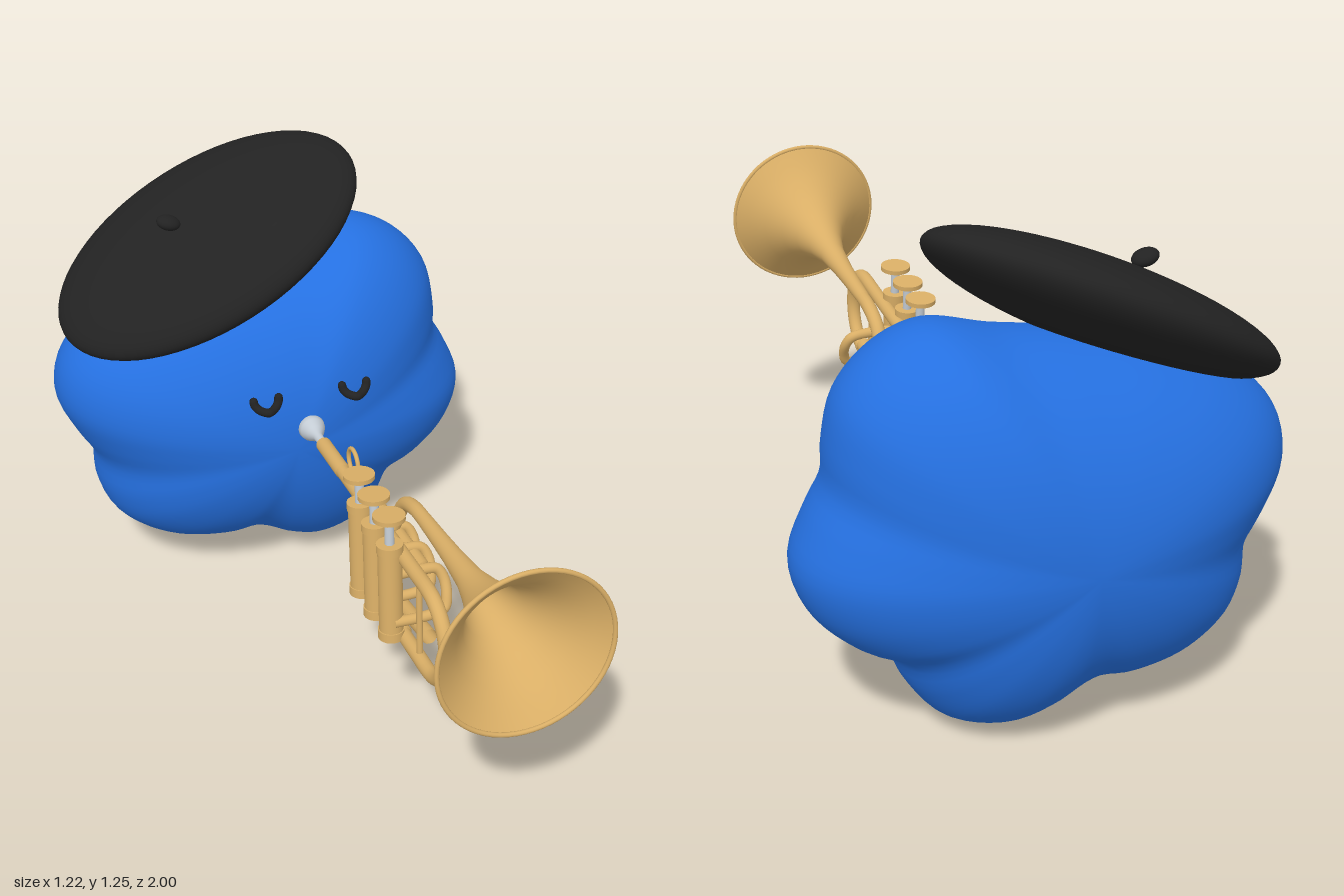
import * as THREE from 'three';
import { mergeVertices } from 'three/addons/utils/BufferGeometryUtils.js';

const mat = (name, color, side = THREE.FrontSide) => {
  const m = new THREE.MeshStandardMaterial({ color, side });
  m.name = name;
  return m;
};

export function createModel() {
  const blue = mat('blue', 0x2570e0);
  const black = mat('black', 0x222222);
  const brass = mat('brass', 0xd9ae66, THREE.DoubleSide);
  const silver = mat('silver', 0xc4ccd4, THREE.DoubleSide);

  const model = new THREE.Group();
  const add = (parent, name, geometry, material, x = 0, y = 0, z = 0) => {
    const mesh = new THREE.Mesh(geometry, material);
    mesh.name = name;
    mesh.position.set(x, y, z);
    parent.add(mesh);
    return mesh;
  };
  const curve = (pts, closed = false) =>
    new THREE.CatmullRomCurve3(pts.map(p => new THREE.Vector3(...p)), closed, 'centripetal');

  // Lobed body: one outline shrinking to a pole at the front and back
  const outline = [
    [-0.548, 0.78], [-0.598, 0.705], [-0.61, 0.613], [-0.565, 0.5], [-0.52, 0.414], [-0.515, 0.308],
    [-0.475, 0.209], [-0.36, 0.12], [-0.2, 0.083], [-0.1, 0.09], [-0.045, 0.073], [0.04, 0.027],
    [0.144, 0.003], [0.27, 0.043], [0.346, 0.136], [0.386, 0.219], [0.485, 0.275], [0.575, 0.368],
    [0.608, 0.48], [0.568, 0.59], [0.525, 0.673], [0.52, 0.756], [0.49, 0.88], [0.4, 0.98],
    [0.277, 1.027], [0.1, 0.99], [-0.05, 0.965], [-0.25, 0.925], [-0.43, 0.86],
  ].map(([x, y]) => [x, y - 0.52, 0]);
  const around = 128, rings = 56;
  const loop = curve(outline, true).getSpacedPoints(around);
  let body = new THREE.SphereGeometry(1, around, rings);
  const pos = body.attributes.position;
  for (let i = 0; i < pos.count; i++) {
    const p = loop[i % (around + 1)];
    const phi = Math.floor(i / (around + 1)) / rings * Math.PI;
    pos.setXYZ(i, p.x * Math.sin(phi), p.y * Math.sin(phi), 0.36 * Math.cos(phi));
  }
  body.deleteAttribute('uv');
  body.deleteAttribute('normal');
  body = mergeVertices(body, 1e-5);
  body.computeVertexNormals();
  add(model, 'body', body, blue, 0, 0.52, -0.64);

  // Tilted beret with its knob
  const beret = new THREE.Group();
  beret.name = 'beret';
  beret.position.set(-0.15, 1.018, -0.642);
  beret.rotation.set(0.27, 0, 0.46, 'ZXY');
  model.add(beret);
  add(beret, 'beretCap', new THREE.SphereGeometry(1, 64, 32), black).scale.set(0.47, 0.102, 0.305);
  const knob = add(model, 'beretKnob', new THREE.SphereGeometry(1, 24, 16), black, -0.258, 1.112, -0.622);
  knob.scale.set(0.034, 0.02, 0.03);
  knob.rotation.z = -0.3;

  // Closed eyes: drooping arcs with rounded ends
  for (const [name, x] of [['rightEye', -0.092], ['leftEye', 0.165]]) {
    const pts = [];
    for (let i = 0; i <= 10; i++) {
      const a = Math.PI * (1 + i / 10);
      pts.push([0.036 * Math.cos(a), 0.032 * Math.sin(a), -0.022 * Math.abs(Math.cos(a))]);
    }
    const eye = new THREE.Group();
    eye.name = name;
    eye.position.set(x, 0.71, -0.268);
    eye.rotation.x = -0.25;
    model.add(eye);
    add(eye, 'eyelid', new THREE.TubeGeometry(curve(pts), 24, 0.012, 10), black);
    for (const p of [pts[0], pts[10]]) add(eye, 'eyelidEnd', new THREE.SphereGeometry(0.012, 12, 8), black, ...p);
  }

  // Trumpet frame: +z runs along the lead pipe towards the bell
  const horn = new THREE.Group();
  horn.name = 'trumpet';
  horn.position.set(0.037, 0.598, -0.18);
  horn.rotation.x = -0.105;
  model.add(horn);
  const pipe = (name, pts, r, segments = 80) =>
    add(horn, name, new THREE.TubeGeometry(curve(pts), segments, r, 16), brass);
  const lathe = (name, profile, material, x, y) => add(horn, name,
    new THREE.LatheGeometry(profile.map(p => new THREE.Vector2(...p)), 56).rotateX(Math.PI / 2), material, x, y);
  // Half circle in the side plane; dir 1 bulges forward, -1 backward
  const bend = (x, y, z, r, dir) => Array.from({ length: 11 }, (_, i) => {
    const a = Math.PI * i / 10;
    return [x, y + r * Math.cos(a), z + dir * r * Math.sin(a)];
  });

  lathe('mouthpiece', [[0, -0.1], [0.03, -0.112], [0.038, -0.106], [0.035, -0.09], [0.024, -0.066],
    [0.013, -0.045], [0.011, 0], [0.013, 0.03]], silver, 0, 0);
  lathe('leadPipeSleeve', [[0.012, -0.002], [0.021, 0], [0.021, 0.16], [0.016, 0.162]], brass, 0, 0);

  // Lead pipe and front tuning bend
  pipe('leadPipe', [[0, 0, 0], [0, 0, 0.4], [0, 0, 0.7], ...bend(0, -0.12, 0.77, 0.12, 1),
    [0, -0.24, 0.7], [0, -0.24, 0.34]], 0.019, 140);
  lathe('tuningSleeve', [[0.019, 0.34], [0.023, 0.342], [0.023, 0.6], [0.019, 0.602]], brass, 0, -0.24);

  // Rear loop ending in an open pipe
  pipe('rearLoop', [[0.075, -0.093, 0.55], [0.075, -0.093, 0.3], ...bend(0.075, -0.202, 0.21, 0.109, -1),
    [0.075, -0.308, 0.32], [0.075, -0.277, 0.59]], 0.021, 140);

  // Bell, its rim and the pipe dropping to the valves
  lathe('bell', [[0.019, 0.55], [0.022, 0.65], [0.026, 0.74], [0.035, 0.85], [0.05, 0.92], [0.072, 0.985],
    [0.1, 1.04], [0.14, 1.095], [0.18, 1.135], [0.217, 1.165]], brass, 0.078, 0.055);
  add(horn, 'bellRim', new THREE.TorusGeometry(0.215, 0.006, 10, 64), brass, 0.078, 0.055, 1.166);
  pipe('bellPipe', [[0.078, 0.055, 0.58], [0.078, 0.051, 0.49], [0.078, 0.028, 0.425], [0.076, -0.025, 0.38],
    [0.06, -0.075, 0.365], [-0.01, -0.1, 0.375]], 0.019);

  // Three valves with buttons and side crooks
  const vx = -0.032;
  for (const z of [0.385, 0.493, 0.6]) {
    const cylinder = (name, r, y0, y1, material) =>
      add(horn, name, new THREE.CylinderGeometry(r, r, y1 - y0, 28), material, vx, (y0 + y1) / 2, z);
    cylinder('valveCasing', 0.031, -0.225, 0.03, brass);
    cylinder('valveTopCap', 0.034, 0.015, 0.037, brass);
    cylinder('valveBottomCap', 0.034, -0.24, -0.215, brass);
    cylinder('valveStem', 0.012, 0.03, 0.11, silver);
    cylinder('valveButton', 0.041, 0.108, 0.12, brass);
    pipe('valveCrook', [[vx, -0.185, z + 0.022], [0.07, -0.185, z + 0.022], [0.105, -0.175, z + 0.02],
      [0.115, -0.145, z + 0.01], [0.115, -0.105, z - 0.01], [0.1, -0.08, z - 0.02],
      [0.06, -0.073, z - 0.02], [vx, -0.073, z - 0.02]], 0.014, 48);
  }

  // Finger ring and thin braces
  add(horn, 'fingerRing', new THREE.TorusGeometry(0.037, 0.006, 10, 36).rotateY(Math.PI / 2), brass, 0.01, 0.058, 0.222);
  pipe('rearBrace', [[0, 0, 0.262], [0.02, -0.1, 0.262], [0.02, -0.195, 0.262]], 0.007, 12);
  pipe('frontBrace', [[0, 0, 0.715], [0, -0.12, 0.715], [0, -0.24, 0.715]], 0.008, 12);
  return model;
}
